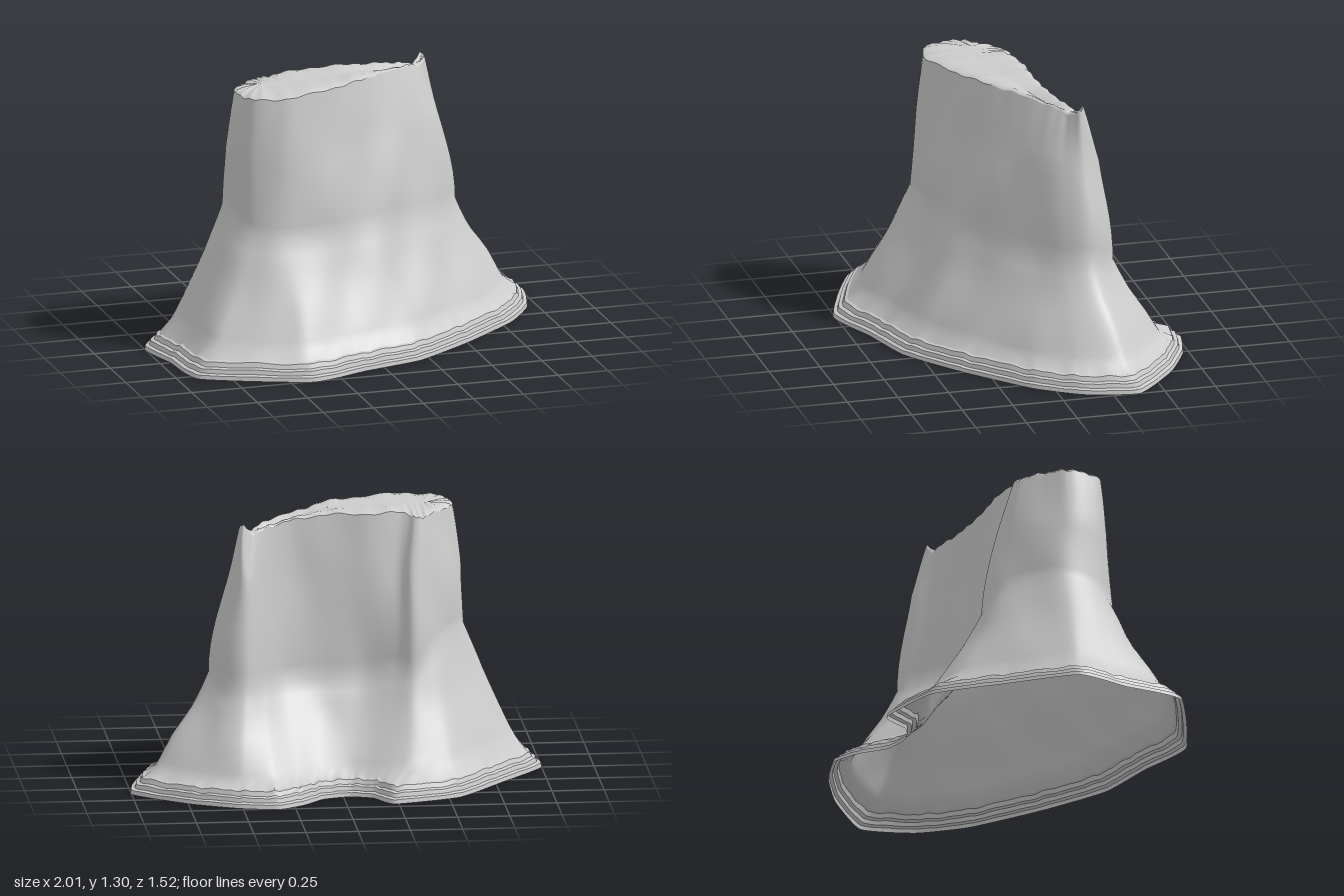
import * as THREE from 'three';
import { toCreasedNormals } from 'three/addons/utils/BufferGeometryUtils.js';

// Matching control outlines, running left > back > right > front, as [x, z, height].
// Ground outline
const BASE = [
  [-1, 0, 0], [-0.78, -0.3, 0], [-0.55, -0.59, 0], [-0.23, -0.7, 0], [-0.14, -0.57, 0],
  [-0.03, -0.53, 0], [0.1, -0.57, 0], [0.2, -0.68, 0], [0.33, -0.76, 0], [0.52, -0.72, 0],
  [0.75, -0.6, 0], [1, -0.38, 0], [0.95, -0.12, 0], [0.8, 0.1, 0], [0.5, 0.36, 0],
  [0.2, 0.57, 0], [-0.1, 0.66, 0], [-0.4, 0.76, 0], [-0.9, 0.55, 0], [-0.95, 0.25, 0],
];
// Foot of the cliff
const WAIST = [
  [-0.625, 0.06, 0.7], [-0.56, -0.06, 0.7], [-0.46, -0.2, 0.65], [-0.37, -0.27, 0.55], [-0.27, -0.21, 0.55],
  [-0.12, -0.17, 0.5], [0.08, -0.17, 0.5], [0.24, -0.21, 0.5], [0.36, -0.31, 0.5], [0.45, -0.385, 0.5],
  [0.54, -0.35, 0.5], [0.615, -0.24, 0.55], [0.58, -0.12, 0.55], [0.48, -0.01, 0.55], [0.3, 0.13, 0.58],
  [0.1, 0.25, 0.6], [-0.14, 0.33, 0.6], [-0.4, 0.37, 0.6], [-0.56, 0.32, 0.62], [-0.615, 0.2, 0.68],
];
// Shoulder below the summit
const SHOULDER = [
  [-0.62, 0.08, 1], [-0.555, -0.03, 1], [-0.45, -0.15, 1], [-0.37, -0.19, 1], [-0.3, -0.14, 1],
  [-0.14, -0.145, 1], [0.06, -0.14, 1], [0.22, -0.165, 1], [0.34, -0.24, 1], [0.42, -0.31, 1],
  [0.48, -0.315, 1], [0.535, -0.23, 1], [0.49, -0.13, 1], [0.4, -0.04, 1], [0.24, 0.07, 1],
  [0.07, 0.17, 1], [-0.13, 0.27, 1], [-0.38, 0.345, 1], [-0.54, 0.3, 1], [-0.605, 0.19, 1],
];
// Summit rim
const RIM = [
  [-0.575, 0.08, 1.27], [-0.52, 0, 1.27], [-0.43, -0.09, 1.26], [-0.38, -0.11, 1.26], [-0.32, -0.08, 1.28],
  [-0.15, -0.12, 1.285], [0.05, -0.12, 1.285], [0.2, -0.14, 1.27], [0.32, -0.19, 1.25], [0.4, -0.23, 1.22],
  [0.45, -0.245, 1.27], [0.47, -0.22, 1.25], [0.41, -0.17, 1.22], [0.33, -0.1, 1.255], [0.18, 0.02, 1.27],
  [0.04, 0.13, 1.285], [-0.14, 0.235, 1.285], [-0.37, 0.315, 1.28], [-0.52, 0.27, 1.275], [-0.565, 0.17, 1.275],
];
const SEGMENTS = 200;

function sampleOutline(points, tension) {
  const curve = new THREE.CatmullRomCurve3(
    points.map(([x, z, y]) => new THREE.Vector3(x, y, z)), true, 'catmullrom', tension);
  return Array.from({ length: SEGMENTS }, (_, i) => curve.getPoint(i / SEGMENTS));
}

// Gentle weathering: pushes a point in or out by a smooth function of its place
function weather(p) {
  const { x, y, z } = p;
  const push = 0.007 * Math.sin(11 * x + 3 * y + 1) * Math.cos(9 * z - 4 * y)
    + 0.005 * Math.sin(23 * x - 5 * y + 7 * z) + 0.004 * Math.sin(9 * y + 14 * z - 12 * x);
  const k = 1 + push * THREE.MathUtils.smoothstep(y, 0.06, 0.3) / Math.max(0.25, Math.hypot(x, z));
  return p.set(x * k, y, z * k);
}

// Rounds off the back spur and gully between ground and cliff
function softenGully(ring, amount) {
  const reach = 12;
  return ring.map((p, i) => {
    const mean = new THREE.Vector3();
    for (let k = -reach; k <= reach; k++) mean.add(ring[(i + k + SEGMENTS) % SEGMENTS]);
    mean.divideScalar(2 * reach + 1);
    return p.clone().lerp(mean, amount * Math.exp(-(((i - 40) / 22) ** 2)));
  });
}

// Skins a stack of closed rings, from the bottom up
function loft(rings) {
  const index = [];
  for (let r = 0; r < rings.length - 1; r++) {
    for (let i = 0; i < SEGMENTS; i++) {
      const j = (i + 1) % SEGMENTS;
      const a = r * SEGMENTS + i, b = r * SEGMENTS + j;
      const c = a + SEGMENTS, d = b + SEGMENTS;
      index.push(a, c, b, b, c, d);
    }
  }
  const geometry = new THREE.BufferGeometry().setFromPoints(rings.flat());
  geometry.setIndex(index);
  geometry.computeVertexNormals();
  return geometry;
}

export function createModel() {
  const material = new THREE.MeshStandardMaterial({ color: 0xcccccc, roughness: 0.9, side: THREE.DoubleSide });
  const base = sampleOutline(BASE, 0.25);
  const waist = sampleOutline(WAIST, 0.5);
  const shoulder = sampleOutline(SHOULDER, 0.5);
  const rim = sampleOutline(RIM, 0.4);
  // Small chips along the rim
  rim.forEach((p, i) => { p.y += 0.007 * Math.sin(i * 0.75) * Math.sin(i * 0.29 + 1); });

  // Stepped ledges around the ground edge, slightly uneven
  const ledges = [[0, 0], [0.02, 0.01], [0.026, 0.06], [0.046, 0.075], [0.052, 0.125], [0.074, 0.15], [0.08, 0.19]]
    .map(([y, t]) => base.map((p, i) => {
      const q = p.clone().lerp(waist[i], t);
      q.y = y * (1 + 0.08 * Math.sin(i * 1.3) * Math.sin(i * 0.37));
      return q;
    }));

  // Flared slope from the ledges to the cliff foot: [height fraction, inward fraction]
  const slope = [[0.2, 0.31], [0.27, 0.375], [0.34, 0.435], [0.46, 0.55], [0.57, 0.66], [0.68, 0.76], [0.78, 0.835], [0.88, 0.91]]
    .map(([f, t]) => softenGully(base.map((p, i) => {
      const q = p.clone().lerp(waist[i], t);
      q.y = f * waist[i].y;
      return q;
    }), Math.sin(Math.PI * t)).map(weather));

  // Cliff: steep to the shoulder, then leaning in to the rim
  const between = (low, high, v, t) => low.map((p, i) => {
    const q = p.clone().lerp(high[i], t);
    q.y = THREE.MathUtils.lerp(p.y, high[i].y, v);
    return weather(q);
  });
  const cliff = [];
  for (let k = 0; k < 7; k++) cliff.push(between(waist, shoulder, k / 7, (k / 7) ** 1.5));
  for (let k = 0; k <= 5; k++) cliff.push(between(shoulder, rim, k / 5, k / 5));

  // Summit, closing from the rim onto a curved spine
  const top = cliff[cliff.length - 1];
  const summit = [[0, 0], [0.1, 0.009], [0.35, 0.013], [0.7, 0.01], [1, 0.008]].map(([t, lift]) => top.map(p => {
    const x = THREE.MathUtils.clamp(p.x, -0.45, 0.46) * 0.98;
    const level = THREE.MathUtils.lerp(1.285, 1.23, THREE.MathUtils.smoothstep(x, 0, 0.35));
    const spine = new THREE.Vector3(x, level, 0.02 - 0.33 * x - 0.5 * x * x);
    const q = p.clone().lerp(spine, t);
    q.y += lift;
    return q;
  }));

  const model = new THREE.Group();
  model.name = 'rockMesa';
  const addPart = (name, geometry) => {
    const mesh = new THREE.Mesh(geometry, material);
    mesh.name = name;
    model.add(mesh);
  };
  addPart('groundLedges', toCreasedNormals(loft(ledges), 0.6));
  addPart('rockWall', loft([ledges[ledges.length - 1], ...slope, ...cliff]));
  addPart('summit', loft(summit));
  return model;
}
